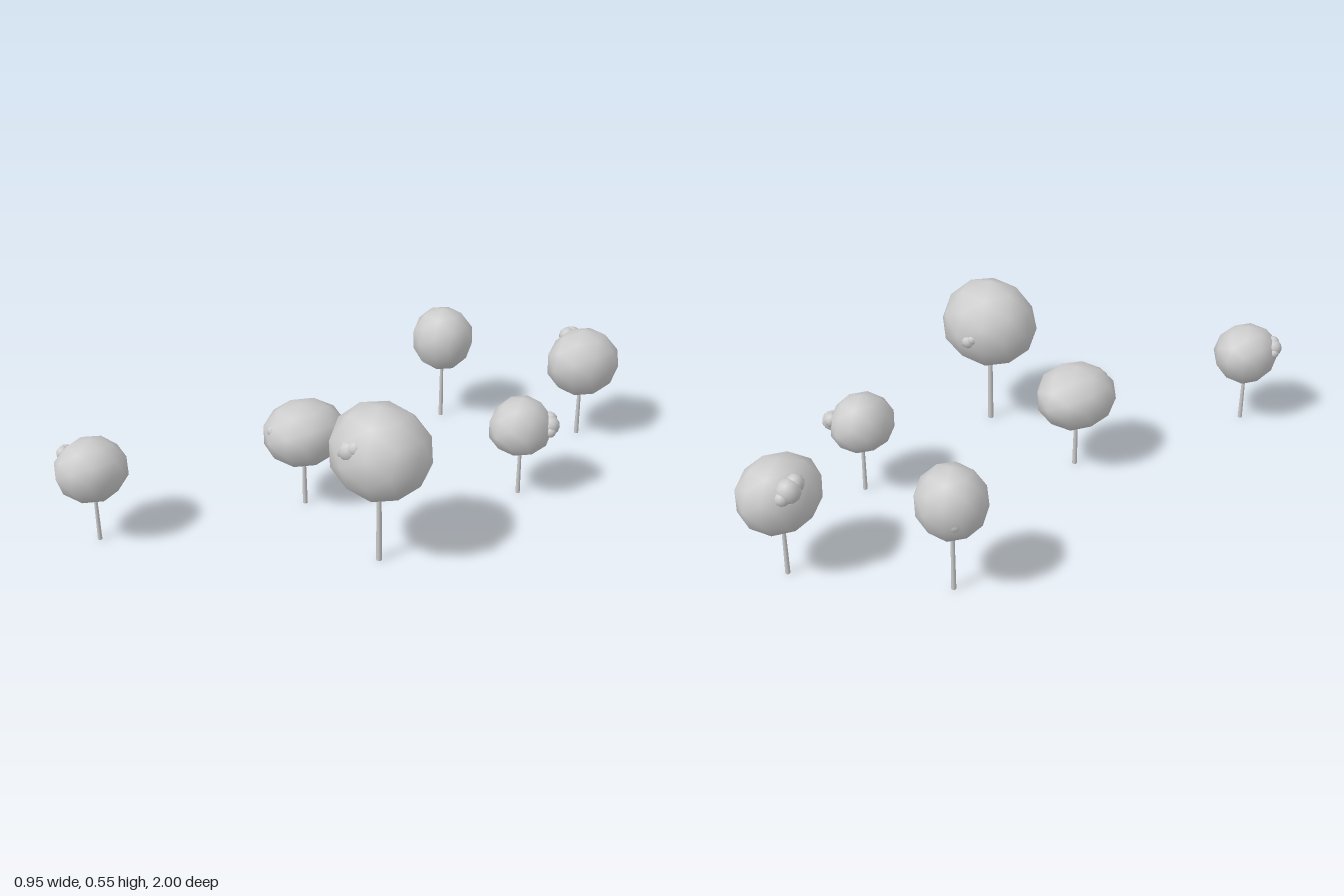
import * as THREE from 'three';
import { mergeVertices } from 'three/addons/utils/BufferGeometryUtils.js';

const material = new THREE.MeshStandardMaterial({ color: 0xcccccc });

// Smooth-shaded, low-poly ball with shared corners
function ball(radius) {
  const geo = new THREE.IcosahedronGeometry(radius, 1);
  geo.deleteAttribute('normal');
  geo.deleteAttribute('uv');
  const merged = mergeVertices(geo, 1e-4);
  merged.computeVertexNormals();
  return merged;
}

// Lumpy ball reaching a different distance on each side of its center,
// swollen by a given amount toward one direction
function crownGeometry([x0, x1], [y0, y1], [z0, z1], center, [px, py, pz, amount]) {
  const geo = ball(1);
  const pos = geo.attributes.position;
  const v = new THREE.Vector3();
  const dir = new THREE.Vector3(px, py, pz).normalize();
  for (let i = 0; i < pos.count; i++) {
    v.fromBufferAttribute(pos, i);
    const swell = 1 + amount * Math.max(0, v.dot(dir)) ** 8;
    pos.setXYZ(i,
      center.x + v.x * swell * (v.x > 0 ? x1 - center.x : center.x - x0),
      center.y + v.y * swell * (v.y > 0 ? y1 - center.y : center.y - y0),
      center.z + v.z * swell * (v.z > 0 ? z1 - center.z : center.z - z0));
  }
  geo.computeVertexNormals();
  return geo;
}

function addMesh(group, name, geo) {
  const mesh = new THREE.Mesh(geo, material);
  mesh.name = name;
  group.add(mesh);
  return mesh;
}

// A leaf lump with two smaller ones beside it, lying along the crown surface
function addLump(tree, center, [x, y, z, radius]) {
  const spot = new THREE.Vector3(x, y, z);
  const out = spot.clone().sub(center).normalize();
  const side = new THREE.Vector3(0, 1, 0).cross(out).normalize();
  side.applyAxisAngle(out, 0.6).multiplyScalar(radius * 0.75);
  for (const [shift, size] of [[0, 1], [1, 0.75], [-1, 0.6]]) {
    addMesh(tree, 'leafLump', ball(radius * size)).position.copy(spot).addScaledVector(side, shift);
  }
}

// Tree whose crown spans x, y, z, is widest at height mid,
// and stands on a trunk at [x, z]
function makeTree({ at: [tx, tz], mid, x, y, z, push, lumps }) {
  const tree = new THREE.Group();
  tree.name = 'tree';

  // Slim tapered trunk ending just inside the crown
  const height = y[0] + 0.02;
  const radius = 0.004 + 0.017 * (x[1] - x[0]);
  const stem = addMesh(tree, 'trunk', new THREE.CylinderGeometry(radius * 0.75, radius, height, 8));
  stem.position.set(tx, height / 2, tz);

  // Crown and its leaf lumps
  const center = new THREE.Vector3(tx, mid, tz);
  addMesh(tree, 'crown', crownGeometry(x, y, z, center, push));
  lumps.forEach((lump) => addLump(tree, center, lump));
  return tree;
}

export function createModel() {
  const grove = new THREE.Group();
  grove.name = 'grove';
  grove.add(
    // Front right tree
    makeTree({ at: [-0.365, 0.875], mid: 0.27, x: [-0.47, -0.25], y: [0.155, 0.37], z: [0.755, 1],
      push: [0, 0.6, -1, -0.06], lumps: [[-0.445, 0.3, 0.92, 0.03]] }),
    // Middle pair
    makeTree({ at: [-0.13, 0.22], mid: 0.275, x: [-0.26, 0], y: [0.16, 0.38], z: [0.07, 0.36],
      push: [1, 0.7, 0, 0.06], lumps: [[-0.145, 0.308, 0.33, 0.02], [-0.22, 0.27, 0.26, 0.03]] }),
    makeTree({ at: [0.297, 0.24], mid: 0.39, x: [0.12, 0.475], y: [0.24, 0.55], z: [0.075, 0.39],
      push: [0.9, -0.5, 0, -0.04], lumps: [[0.3, 0.44, 0.355, 0.035], [0.265, 0.38, 0.1, 0.025]] }),
    // Back trees
    makeTree({ at: [0.275, -0.39], mid: 0.255, x: [0.17, 0.375], y: [0.165, 0.365], z: [-0.5, -0.27],
      push: [1, -0.7, 0.2, 0.12], lumps: [[0.345, 0.27, -0.455, 0.033]] }),
    makeTree({ at: [-0.325, -0.56], mid: 0.325, x: [-0.44, -0.21], y: [0.2, 0.44], z: [-0.675, -0.45],
      push: [0, -0.6, 1, 0.06], lumps: [[-0.39, 0.3, -0.615, 0.025]] }),
    makeTree({ at: [0.1, -0.86], mid: 0.295, x: [-0.015, 0.23], y: [0.17, 0.417], z: [-1, -0.72],
      push: [0, 0.5, 1, 0.05], lumps: [[0.02, 0.355, -0.885, 0.04]] }),
  );
  return grove;
}
